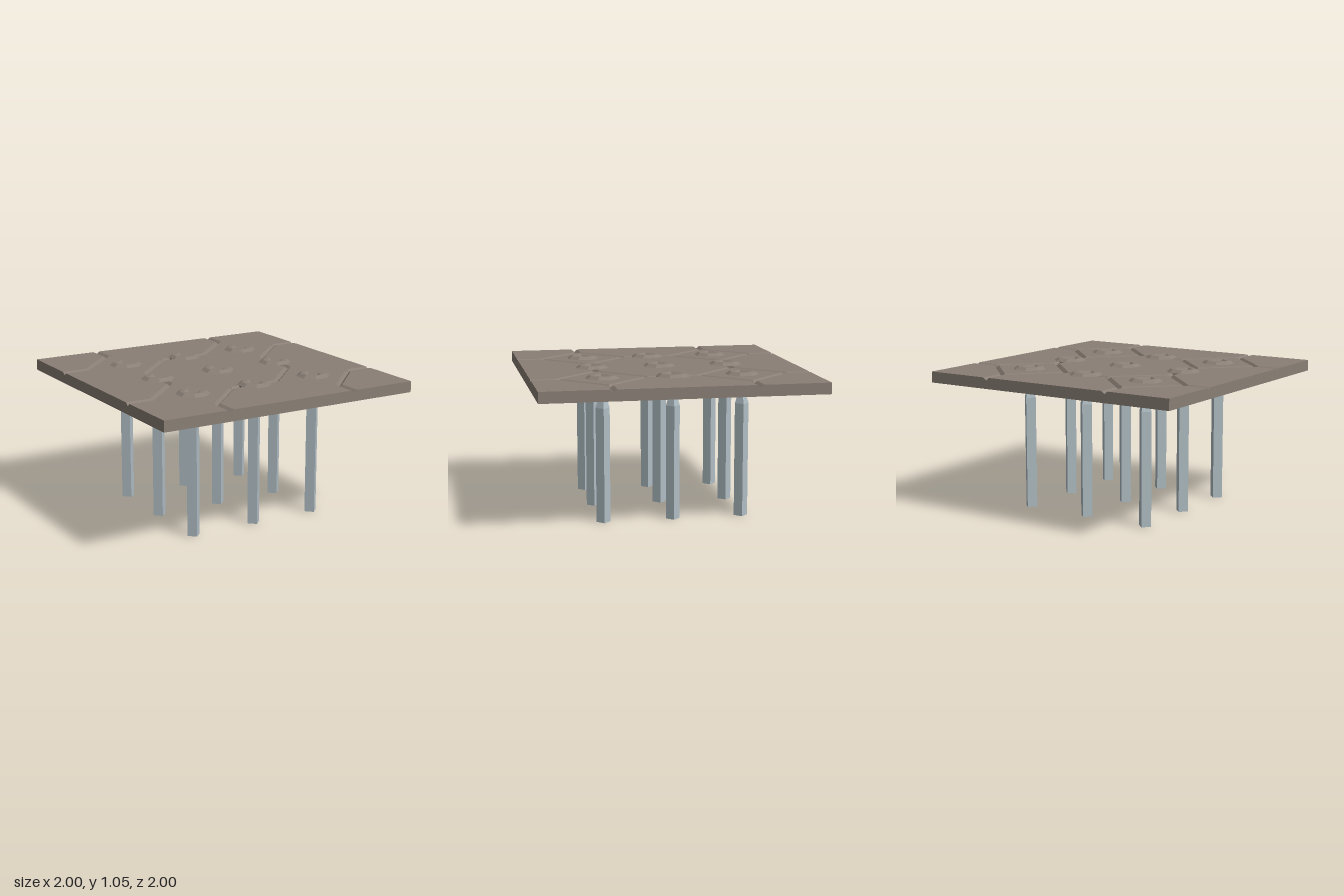
import * as THREE from 'three';

const TOP = 1.03, BASE = 0.95, DEPTH = 0.02;
const R = 0.32, K = 0.03, W = 0.025; // diamond radius, groove half widths
const OCT = 1 / Math.cos(Math.PI / 8);

export function createModel() {
  const stone = new THREE.MeshStandardMaterial({ color: 0x8a7f76, flatShading: true, side: THREE.DoubleSide });
  stone.name = 'stone';
  const metal = new THREE.MeshStandardMaterial({ color: 0xb0bec4, flatShading: true });
  metal.name = 'metal';

  const model = new THREE.Group();
  model.name = 'spikeTrap';
  const add = (parent, name, geometry, material, x = 0, y = 0, z = 0) => {
    const mesh = new THREE.Mesh(geometry, material);
    mesh.name = name;
    mesh.position.set(x, y, z);
    parent.add(mesh);
    return mesh;
  };

  // One quarter of a floor cell; corners are [x, z, sunk]
  const e = R + K - W;
  const faces = [
    [[0, 0], [0, R - K], [R - K, 0]],                      // diamond panel
    [[0, R - K], [0, R, 1], [R, 0, 1], [R - K, 0]],        // diamond groove, inner slope
    [[0, R, 1], [W, e], [e, W], [R, 0, 1]],                // diamond groove, outer slope
    [[0, R, 1], [0, 0.5, 1], [W, 0.5], [W, e]],            // straight grooves
    [[R, 0, 1], [e, W], [0.5, W], [0.5, 0, 1]],
    [[W, e], [W, 0.5], [0.5, 0.5], [0.5, W], [e, W]],      // outer panel
  ];
  const points = [];
  for (const face of faces) {
    for (let i = 1; i < face.length - 1; i++) {
      for (const [x, z, sunk] of [face[0], face[i], face[i + 1]]) {
        points.push(x, sunk ? TOP - DEPTH : TOP, z);
      }
    }
  }
  const quarter = new THREE.BufferGeometry();
  quarter.setAttribute('position', new THREE.Float32BufferAttribute(points, 3));
  quarter.computeVertexNormals();

  const slab = new THREE.Group();
  slab.name = 'floorSlab';
  model.add(slab);
  for (const x of [-0.5, 0.5]) for (const z of [-0.5, 0.5]) {
    for (let i = 0; i < 4; i++) {
      add(slab, 'floorPanel', quarter, stone, x, 0, z).rotation.y = i * Math.PI / 2;
    }
  }

  // Side walls, notched where the grooves run out
  const wallShape = new THREE.Shape();
  wallShape.moveTo(-1, BASE);
  wallShape.lineTo(1, BASE);
  wallShape.lineTo(1, TOP);
  for (const x of [0.5, -0.5]) {
    wallShape.lineTo(x + W, TOP);
    wallShape.lineTo(x, TOP - DEPTH);
    wallShape.lineTo(x - W, TOP);
  }
  wallShape.lineTo(-1, TOP);
  const wall = new THREE.ShapeGeometry(wallShape).translate(0, 0, 1);
  for (let i = 0; i < 4; i++) add(slab, 'sideWall', wall, stone).rotation.y = i * Math.PI / 2;

  // Octagonal stud with a diamond-shaped pit
  const outer = 0.113 * OCT, inner = 0.085 * OCT, pit = 0.075, floor = 0.045;
  const studTop = 1.05, pitFloor = 1.03;
  const tube = (rTop, rBottom, yTop, yBottom, sides) =>
    new THREE.CylinderGeometry(rTop, rBottom, yTop - yBottom, sides, 1, true, sides === 8 ? Math.PI / 8 : 0)
      .translate(0, (yTop + yBottom) / 2, 0);
  const ring = (radius, sides) => Array.from({ length: sides }, (_, i) => {
    const a = (i + (sides === 8 ? 0.5 : 0)) * 2 * Math.PI / sides;
    return new THREE.Vector2(radius * Math.cos(a), radius * Math.sin(a));
  });
  const rimShape = new THREE.Shape(ring(inner, 8));
  rimShape.holes.push(new THREE.Path(ring(pit, 4)));
  const studParts = {
    studSkirt: tube(outer, outer, TOP, TOP - DEPTH, 8),
    studBevel: tube(inner, outer, studTop, TOP, 8),
    studRim: new THREE.ShapeGeometry(rimShape).rotateX(-Math.PI / 2).translate(0, studTop, 0),
    pitWall: tube(pit, floor, studTop, pitFloor + 0.002, 4),
    pitFloor: new THREE.CircleGeometry(floor, 4).rotateX(-Math.PI / 2).translate(0, pitFloor + 0.002, 0),
  };

  // Square spike turned on edge, with a pointed tip
  const shaft = new THREE.CylinderGeometry(0.05, 0.05, 0.82, 4).translate(0, 0.41, 0);
  const tip = new THREE.ConeGeometry(0.05, 0.17, 4, 1, true).translate(0, 0.905, 0);

  for (const x of [-0.5, 0, 0.5]) for (const z of [-0.5, 0, 0.5]) {
    const stud = new THREE.Group();
    stud.name = 'stud';
    stud.position.set(x, 0, z);
    for (const [name, geometry] of Object.entries(studParts)) add(stud, name, geometry, stone);
    const spike = new THREE.Group();
    spike.name = 'spike';
    spike.position.set(x, 0, z);
    add(spike, 'spikeShaft', shaft, metal);
    add(spike, 'spikeTip', tip, metal);
    model.add(stud, spike);
  }
  return model;
}
